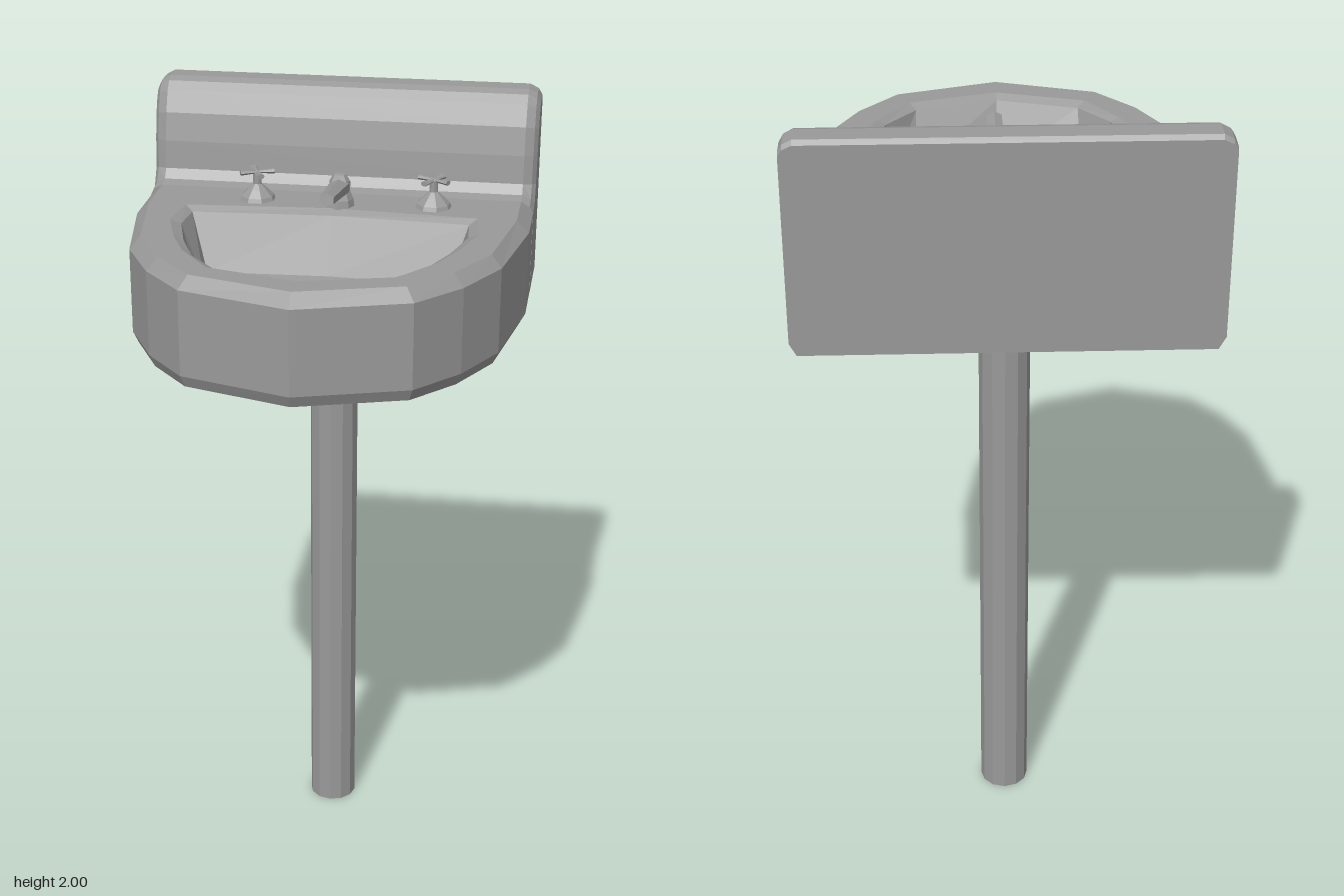
import * as THREE from 'three';

const material = new THREE.MeshStandardMaterial({ color: 0x999999, flatShading: true });

function add(parent, name, geometry, x = 0, y = 0, z = 0) {
  const mesh = new THREE.Mesh(geometry, material);
  mesh.name = name;
  mesh.position.set(x, y, z);
  parent.add(mesh);
}

// Skin a series of closed rings that all have the same number of points
function loft(rings) {
  const n = rings[0].length, index = [];
  for (let r = 0; r < rings.length - 1; r++) {
    for (let i = 0; i < n; i++) {
      const a = r * n + i, b = r * n + (i + 1) % n;
      index.push(a, a + n, b, b, a + n, b + n);
    }
  }
  const indexed = new THREE.BufferGeometry();
  indexed.setAttribute('position', new THREE.Float32BufferAttribute(rings.flat(2), 3));
  indexed.setIndex(index);
  const geometry = indexed.toNonIndexed();
  geometry.computeVertexNormals();
  return geometry;
}

// Half outline [x, z] from back centre to front centre, mirrored into a level ring
function levelRing(half, y) {
  const mirrored = half.slice(1, -1).reverse().map(([x, z]) => [-x, z]);
  return [...half, ...mirrored].map(([x, z]) => [x, y, z]);
}

function createBasin() {
  const under = [[0, -0.485], [0.475, -0.485], [0.475, -0.13], [0.432, 0.135], [0.358, 0.278], [0.262, 0.388], [0, 0.47]];
  const outer = [[0, -0.485], [0.491, -0.485], [0.491, -0.13], [0.445, 0.14], [0.37, 0.285], [0.27, 0.4], [0, 0.485]];
  const top = [[0, -0.485], [0.46, -0.485], [0.46, -0.13], [0.42, 0.13], [0.345, 0.27], [0.25, 0.375], [0, 0.45]];
  const rim = [[0, -0.155], [0.365, -0.13], [0.378, -0.01], [0.343, 0.11], [0.3, 0.21], [0.22, 0.32], [0, 0.38]];
  const lip = [[0, -0.132], [0.345, -0.112], [0.352, -0.015], [0.32, 0.105], [0.278, 0.21], [0.203, 0.3], [0, 0.357]];
  const floor = [[0, -0.075], [0.3, -0.06], [0.292, 0.01], [0.284, 0.09], [0.275, 0.175], [0.21, 0.225], [0, 0.295]];
  const point = z => outer.map(() => [0, z]);
  return loft([
    levelRing(point(0), 1.48),
    levelRing(under, 1.48),
    levelRing(outer, 1.51),
    levelRing(outer, 1.72),
    levelRing(top, 1.75),
    levelRing(rim, 1.75),
    levelRing(lip, 1.738),
    levelRing(floor, 1.6),
    levelRing(point(0.11), 1.57),
  ]);
}

function createSplash() {
  // Side profiles [z, y]: up the curved front, over the top and down the back
  const middle = [[-0.28, 1.51], [-0.28, 1.75], [-0.312, 1.757], [-0.33, 1.78], [-0.338, 1.85], [-0.352, 1.92],
    [-0.375, 1.972], [-0.395, 1.992], [-0.42, 2], [-0.475, 2], [-0.485, 1.99], [-0.485, 1.51]];
  const end = [[-0.28, 1.51], [-0.28, 1.72], [-0.328, 1.73], [-0.355, 1.775], [-0.362, 1.85], [-0.375, 1.91],
    [-0.392, 1.95], [-0.405, 1.965], [-0.425, 1.972], [-0.475, 1.972], [-0.485, 1.965], [-0.485, 1.51]];
  // Blend from the middle profile to the end one
  const section = (x, t) => middle.map(([z, y], i) =>
    [x, THREE.MathUtils.lerp(y, end[i][1], t), THREE.MathUtils.lerp(z, end[i][0], t)]);
  const corner = x => middle.map(() => [x, 1.51, -0.485]);
  return loft([
    corner(-0.4915),
    section(-0.4915, 1),
    section(-0.482, 0.4),
    section(-0.46, 0),
    section(0.46, 0),
    section(0.482, 0.4),
    section(0.4915, 1),
    corner(0.4915),
  ]);
}

// Turned body from a profile of [radius, height] pairs
const turned = points => new THREE.LatheGeometry(points.map(p => new THREE.Vector2(...p)), 8);

function createTap(x, turn) {
  const tap = new THREE.Group();
  tap.name = 'tap';
  tap.position.set(x, 1.748, -0.205);
  tap.rotation.y = turn;
  add(tap, 'tapBody', turned([[0.047, 0], [0.042, 0.012], [0.024, 0.03], [0.011, 0.042], [0.011, 0.07], [0, 0.077]]));
  // Four thin flared arms of the cross handle
  for (let i = 0; i < 4; i++) {
    const arm = new THREE.CylinderGeometry(0.01, 0.005, 0.043, 6);
    arm.rotateZ(-Math.PI / 2);
    arm.scale(1, 0.65, 1);
    arm.translate(0.0215, 0.071, 0);
    arm.rotateY(i * Math.PI / 2);
    add(tap, 'tapHandleArm', arm);
  }
  return tap;
}

function createSpout() {
  const spout = new THREE.Group();
  spout.name = 'spout';
  spout.position.set(0.015, 1.748, -0.185);
  add(spout, 'spoutBase', turned([[0.037, 0], [0.034, 0.02], [0.026, 0.04], [0.026, 0.065], [0.016, 0.082], [0, 0.084]]));
  // Tapered arm rising slightly towards the bowl
  const arm = new THREE.CylinderGeometry(0.02, 0.028, 0.22, 6);
  arm.scale(1, 1, 0.8);
  arm.rotateX(Math.PI / 2 - 0.15);
  add(spout, 'spoutArm', arm, 0, 0.065, 0.108);
  return spout;
}

export function createModel() {
  const model = new THREE.Group();
  model.name = 'pedestalSink';
  add(model, 'basin', createBasin());
  add(model, 'backSplash', createSplash());
  add(model, 'post', new THREE.CylinderGeometry(0.062, 0.062, 1.49, 12), -0.001, 0.745, -0.205);
  model.add(createTap(-0.197, 0.4), createTap(0.247, -0.5), createSpout());
  return model;
}
